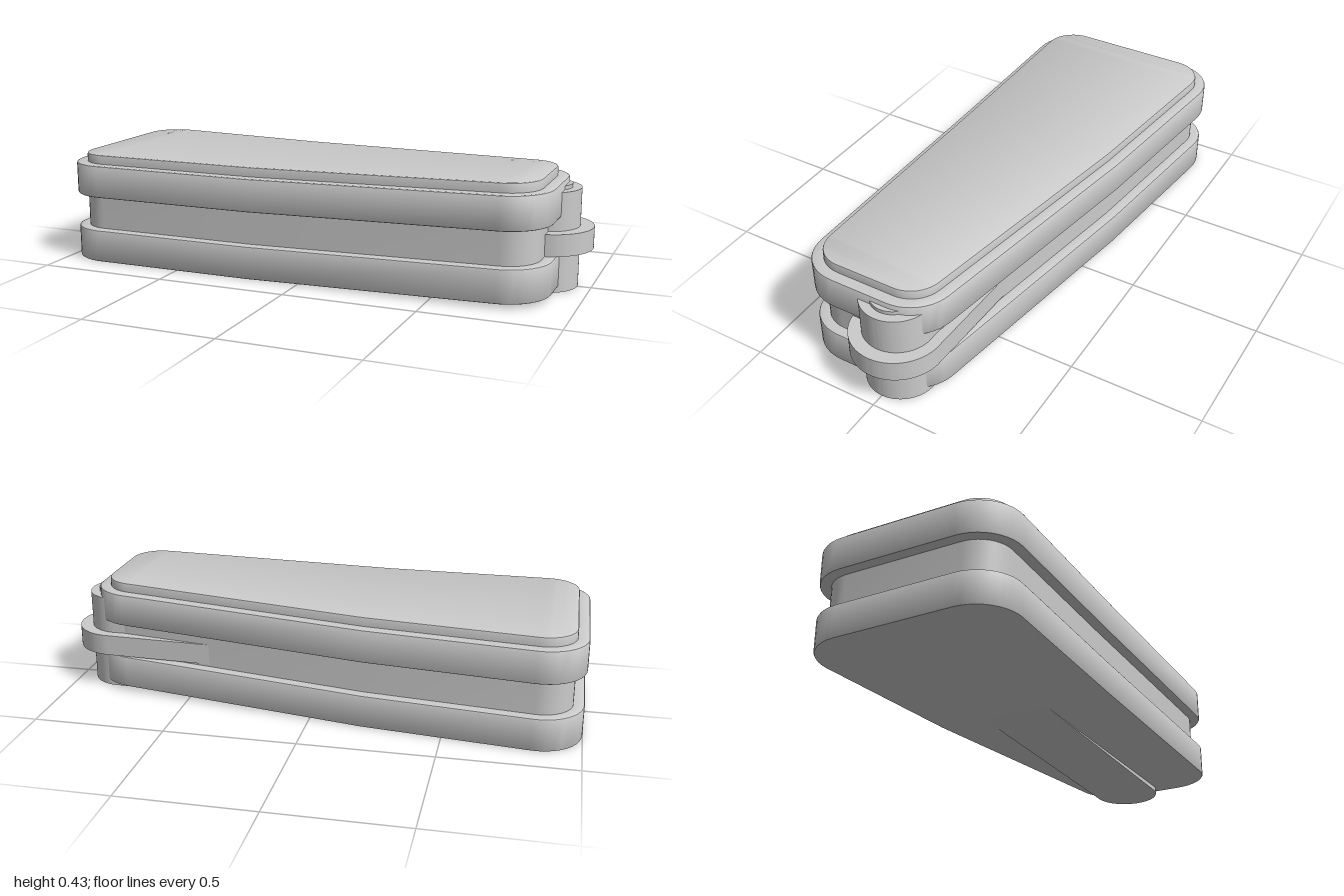
import * as THREE from 'three';
import { toCreasedNormals } from 'three/addons/utils/BufferGeometryUtils.js';

const BEND_X = -0.2; // the body rises gently to the right of this line
const lift = x => Math.max(0, x - BEND_X) * 0.0182;

// Rounded, tapering outline pulled in by `inset`, as [x, z] points
function outline(inset) {
  const r = 0.16 - inset, h = Math.PI / 2, steps = 10, points = [];
  const corner = (x, z, from, to) => {
    for (let i = 0; i <= steps; i++) {
      const a = from + (to - from) * i / steps;
      points.push([x + r * Math.cos(a), z + r * Math.sin(a)]);
    }
  };
  corner(-0.84, 0.22, 2 * h, h);
  points.push([BEND_X, 0.38 - inset]);
  corner(0.74, 0.215, h, 0);
  corner(0.74, -0.015, 0, 0.146 - h);
  points.push([BEND_X, -0.315 + inset]);
  corner(-0.84, -0.226, 0.112 - h, -2 * h);
  return points;
}

// Stack outlines along a profile of [inset, y] and close both ends
function stackedBody(profile) {
  const positions = [], index = [];
  const n = outline(0).length;
  for (const [inset, y] of profile) {
    for (const [x, z] of outline(inset)) positions.push(x, y + lift(x), z);
  }
  for (let k = 0; k < profile.length - 1; k++) {
    for (let i = 0; i < n; i++) {
      const a = k * n + i, b = k * n + (i + 1) % n;
      index.push(a, b, b + n, a, b + n, a + n);
    }
  }
  // End faces as strips running from the front edge to the back edge
  const top = (profile.length - 1) * n;
  for (let i = 0; i < n / 2 - 1; i++) {
    const f0 = i, f1 = i + 1, b0 = n - 1 - i, b1 = n - 2 - i;
    index.push(top + f0, top + f1, top + b1, top + f0, top + b1, top + b0);
    index.push(f0, b1, f1, f0, b0, b1);
  }
  const geometry = new THREE.BufferGeometry();
  geometry.setAttribute('position', new THREE.Float32BufferAttribute(positions, 3));
  geometry.setIndex(index);
  return toCreasedNormals(geometry, 0.5);
}

// Flat bar with a round right end, running back into the body
function roundEndedBar(centreX, radius, rootHalfWidth, bottom, topY) {
  const shape = new THREE.Shape();
  shape.moveTo(BEND_X, -rootHalfWidth);
  shape.lineTo(centreX, -radius);
  shape.absarc(centreX, 0, radius, -Math.PI / 2, Math.PI / 2, false);
  shape.lineTo(BEND_X, rootHalfWidth);
  shape.closePath();
  const geometry = new THREE.ExtrudeGeometry(shape, {
    depth: topY - bottom, bevelEnabled: false, curveSegments: 32,
  });
  geometry.rotateX(-Math.PI / 2).translate(0, bottom, 0);
  return toCreasedNormals(geometry, 0.5);
}

export function createModel() {
  const group = new THREE.Group();
  const material = new THREE.MeshStandardMaterial({ color: 0xcccccc });
  const add = (name, geometry) => {
    const mesh = new THREE.Mesh(geometry, material);
    mesh.name = name;
    group.add(mesh);
  };

  // Lower plate, recessed waist, upper plate and raised lid
  add('body', stackedBody([
    [0.006, 0], [0.002, 0.002], [0, 0.006],
    [0, 0.119], [0.002, 0.123], [0.006, 0.125],
    [0.04, 0.125], [0.04, 0.255],
    [0.006, 0.255], [0.002, 0.257], [0, 0.261],
    [0, 0.374], [0.002, 0.378], [0.006, 0.38],
    [0.042, 0.38], [0.042, 0.408], [0.044, 0.413], [0.048, 0.415],
  ]));

  // Hinge post at the narrow end, with its collar and top step
  add('hingePost', roundEndedBar(0.82, 0.13, 0.13, 0, 0.365));
  add('hingeCollar', roundEndedBar(0.83, 0.17, 0.205, 0.145, 0.225));
  add('hingeStep', roundEndedBar(0.83, 0.087, 0.087, 0.36, 0.379));

  return group;
}
